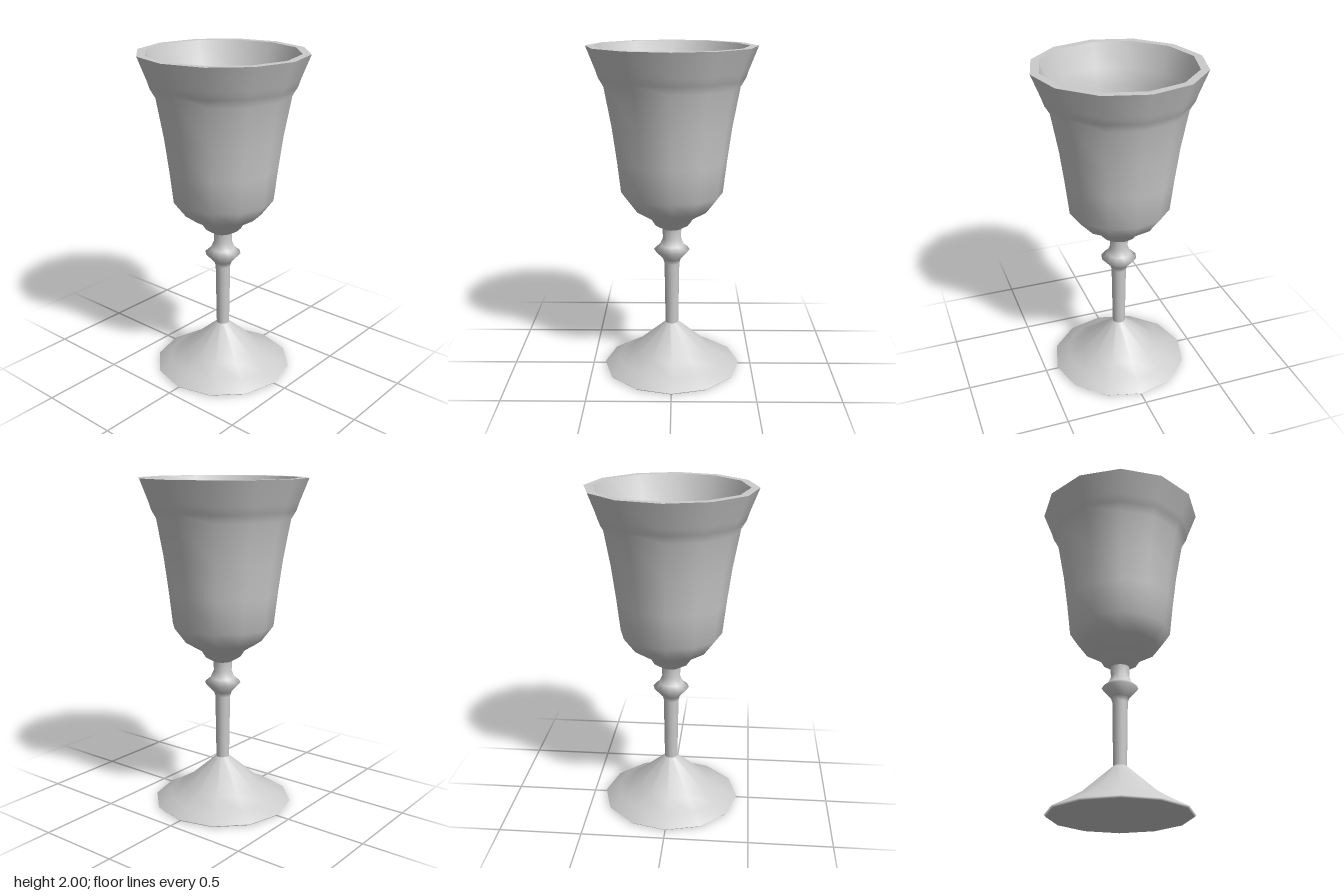
import * as THREE from 'three';

const SIDES = 12;

export function createModel() {
  const model = new THREE.Group();
  const material = new THREE.MeshStandardMaterial({ color: 0xcccccc });

  // Turn a [radius, height] profile; profiles run up the outside and down the inside
  const turn = (name, profile) => {
    const points = profile.map(([r, y]) => new THREE.Vector2(r, y));
    const mesh = new THREE.Mesh(new THREE.LatheGeometry(points, SIDES), material);
    mesh.name = name;
    model.add(mesh);
  };

  // Flat underside of the foot
  turn('footUnderside', [[0, 0], [0.415, 0]]);

  // Flared foot with a thin undercut lip
  turn('foot', [[0.415, 0], [0.425, 0.01], [0.34, 0.055], [0.24, 0.115], [0.04, 0.29]]);

  // Slim stem with a knop near the top
  turn('stem', [
    [0.04, 0.29], [0.046, 0.68], [0.055, 0.71], [0.11, 0.77],
    [0.075, 0.8], [0.055, 0.845], [0.058, 0.905],
  ]);

  // Outside of the bowl, from the collar up to the flared lip
  turn('bowlOutside', [
    [0.058, 0.905], [0.11, 0.935], [0.135, 0.975], [0.235, 1.035], [0.307, 1.13],
    [0.33, 1.33], [0.357, 1.53], [0.4, 1.765], [0.43, 1.815], [0.445, 1.86], [0.5, 2],
  ]);

  // Flat rim
  turn('rim', [[0.5, 2], [0.45, 2]]);

  // Inside wall of the bowl
  turn('bowlInside', [
    [0.45, 2], [0.395, 1.85], [0.355, 1.765], [0.315, 1.53], [0.255, 1.13],
  ]);

  // Shallow floor of the bowl
  turn('bowlFloor', [[0.255, 1.13], [0.18, 1.08], [0, 1.04]]);

  return model;
}
